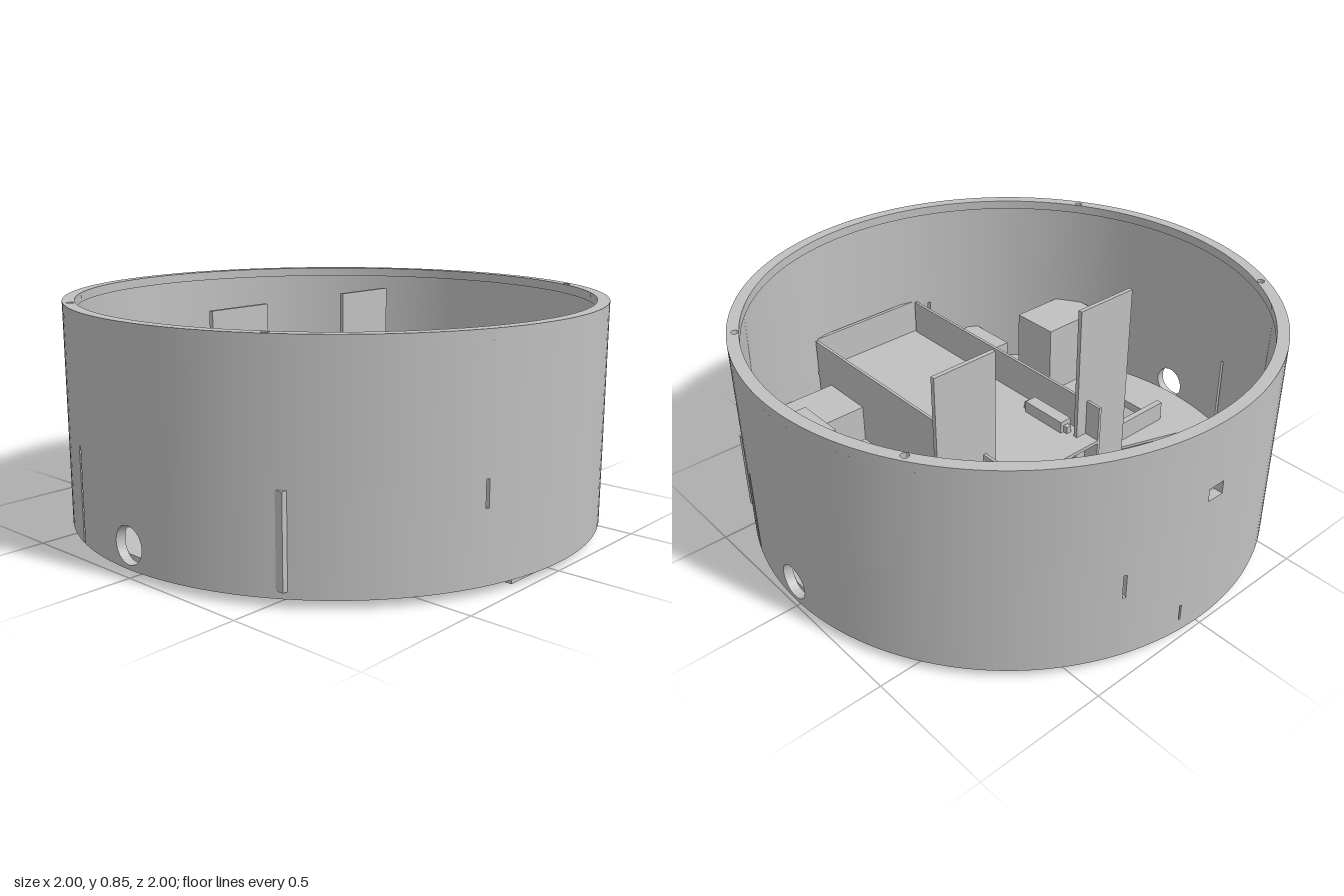
import * as THREE from 'three';
import { toCreasedNormals } from 'three/addons/utils/BufferGeometryUtils.js';

const BASE = 0.03, FLOOR = 0.065, LIP = 0.81, TOP = 0.845;
const R_OUT = 1, R_IN = 0.965, R_LIP = 0.956;

export function createModel() {
  const group = new THREE.Group();
  const grey = new THREE.MeshStandardMaterial({ color: 0xc0c0c0 });
  grey.name = 'plain grey';

  const add = (name, geometry) => {
    const mesh = new THREE.Mesh(geometry, grey);
    mesh.name = name;
    group.add(mesh);
    return mesh;
  };
  // box given by its limits on each axis
  const box = (name, x0, x1, y0, y1, z0, z1) => {
    const g = new THREE.BoxGeometry(x1 - x0, y1 - y0, z1 - z0);
    g.translate((x0 + x1) / 2, (y0 + y1) / 2, (z0 + z1) / 2);
    return add(name, g);
  };
  // box repeated on both sides
  const pair = (name, x0, x1, ...rest) => {
    box(name + 'Left', x0, x1, ...rest);
    box(name + 'Right', -x1, -x0, ...rest);
  };
  const circle = (x, z, r) => new THREE.Path().absarc(x, -z, r, 0, Math.PI * 2, true);
  const polygon = (pts) => new THREE.Path(pts.map(([x, z]) => new THREE.Vector2(x, -z)));
  // horizontal plate with holes, lying between two heights
  const disc = (name, r, holes, y0, y1) => {
    const s = new THREE.Shape().absarc(0, 0, r, 0, Math.PI * 2, false);
    s.holes.push(...holes);
    const g = new THREE.ExtrudeGeometry(s, { depth: y1 - y0, bevelEnabled: false, curveSegments: 96 });
    g.rotateX(-Math.PI / 2);
    g.translate(0, y0, 0);
    return add(name, toCreasedNormals(g, 0.5));
  };

  // floor with wheel slots, caster holes, screw holes and narrow radial cuts
  const holes = [circle(0, -0.8, 0.13), circle(0, 0.8, 0.13), circle(0, -0.435, 0.042)];
  for (const s of [-1, 1]) {
    holes.push(circle(s * 0.135, -0.445, 0.015), circle(s * 0.135, -0.285, 0.015));
    holes.push(polygon([[s * 0.27, -0.1], [s * 0.765, -0.1], [s * 0.765, 0.09], [s * 0.27, 0.09]]));
    const c = 0.948 * s, d = 0.318 * s, w = 0.007;
    holes.push(polygon([0.4, 0.96].flatMap((r, i) => [-1, 1].map((k) => {
      const e = w * k * (i ? -1 : 1);
      return [c * r - d * e, d * r + c * e];
    }))));
  }
  disc('floor', R_IN + 0.001, holes, BASE, FLOOR);

  // rim lip with four screw holes
  const screws = [-1, 1].flatMap((sx) => [-0.49, 0.485].map((z) => circle(sx * 0.84, z, 0.014)));
  disc('rimLip', R_OUT, [circle(0, 0, R_LIP), ...screws], LIP, TOP);

  add('outerWall', wallGeometry());

  // raised tray, open at the back
  box('trayFloor', -0.27, 0.27, 0.235, 0.25, -0.238, 0.94);
  pair('traySide', 0.258, 0.27, FLOOR, 0.4, -0.238, 0.92);
  box('trayFront', -0.26, 0.26, 0.2, 0.4, 0.93, 0.945);

  // tall upright panels
  pair('uprightPanel', 0.21, 0.48, FLOOR, 0.81, -0.17, -0.153);

  // wheel wells and the axle blocks beside them
  pair('wheelRailBack', 0.27, 0.77, BASE, 0.15, -0.125, -0.1);
  pair('wheelRailFront', 0.27, 0.77, BASE, 0.15, 0.09, 0.115);
  pair('axleBlock', 0.185, 0.237, 0.24, 0.3, -0.105, 0.1);
  pair('axlePin', 0.2, 0.222, 0.24, 0.28, -0.125, 0.125);

  // solid corner blocks; the outer ones poke through the wall
  pair('outerBlock', 0.56, 0.85, 0.055, 0.375, 0.35, 0.557);
  pair('innerBlock', 0.265, 0.53, FLOOR, 0.225, 0.6, 0.83);

  // shallow frames under the floor around the caster holes
  for (const [name, z0, z1] of [['frontCaster', 0.65, 0.95], ['backCaster', -0.945, -0.65]]) {
    const t = 0.014;
    pair(name + 'FrameSide', 0.205 - t, 0.205, 0, BASE, z0, z1);
    box(name + 'FrameBack', -0.205, 0.205, 0, BASE, z0, z0 + t);
    box(name + 'FrameFront', -0.205, 0.205, 0, BASE, z1 - t, z1);
  }
  return group;
}

// ring wall made of columns, interrupted by slits, a window and round holes
function wallGeometry() {
  const TAU = Math.PI * 2;
  const slot = (x, z, half, lo, hi) =>
    ({ a: (Math.atan2(x, z) + TAU) % TAU, half, lo: () => lo, hi: () => hi, steps: 1 });
  const round = (x, y, r) => {
    const h = (d) => Math.sqrt(Math.max(0, r * r - d * d));
    return { a: (Math.atan2(x, 0) + TAU) % TAU, half: r, lo: (d) => y - h(d), hi: (d) => y + h(d), steps: 20 };
  };
  const openings = [
    round(1, 0.113, 0.067), round(-1, 0.113, 0.067),
    slot(0.948, 0.318, 0.007, BASE, 0.38), slot(-0.948, -0.318, 0.007, BASE, 0.38),
    slot(-0.34, 0.94, 0.006, 0.285, 0.38), slot(0.34, -0.94, 0.006, 0.285, 0.38),
    slot(0.109, -0.99, 0.004, 0.08, 0.145),
    slot(0, -1, 0.034, 0.55, 0.6),
  ];

  const angles = Array.from({ length: 145 }, (_, i) => (i / 144) * TAU);
  for (const o of openings)
    for (let i = 0; i <= o.steps; i++) angles.push(o.a - o.half * Math.cos((Math.PI * i) / o.steps));
  angles.sort((p, q) => p - q);

  const pos = [];
  const at = (r, a, y) => [r * Math.sin(a), y, r * Math.cos(a)];
  const quad = (a, b, c, d) => pos.push(...a, ...b, ...c, ...a, ...c, ...d);
  // one curved block with separate heights at its two ends
  const block = (a, b, la, lb, ha, hb) => {
    if (ha - la < 1e-6 && hb - lb < 1e-6) return;
    const o = R_OUT, n = R_IN;
    quad(at(o, a, la), at(o, b, lb), at(o, b, hb), at(o, a, ha));
    quad(at(n, b, lb), at(n, a, la), at(n, a, ha), at(n, b, hb));
    quad(at(o, a, ha), at(o, b, hb), at(n, b, hb), at(n, a, ha));
    quad(at(n, a, la), at(n, b, lb), at(o, b, lb), at(o, a, la));
  };

  for (let i = 0; i + 1 < angles.length; i++) {
    const a = angles[i], b = angles[i + 1];
    if (b - a < 1e-6) continue;
    const o = openings.find((p) => Math.abs((a + b) / 2 - p.a) < p.half);
    if (!o) {
      block(a, b, BASE, BASE, LIP, LIP);
      continue;
    }
    const da = a - o.a, db = b - o.a;
    block(a, b, BASE, BASE, o.lo(da), o.lo(db));
    block(a, b, o.hi(da), o.hi(db), LIP, LIP);
  }
  // upright sides of the rectangular openings
  for (const o of openings.filter((p) => p.steps === 1)) {
    const a = o.a - o.half, b = o.a + o.half, l = o.lo(), h = o.hi();
    quad(at(R_OUT, a, l), at(R_IN, a, l), at(R_IN, a, h), at(R_OUT, a, h));
    quad(at(R_IN, b, l), at(R_OUT, b, l), at(R_OUT, b, h), at(R_IN, b, h));
  }
  const g = new THREE.BufferGeometry();
  g.setAttribute('position', new THREE.Float32BufferAttribute(pos, 3));
  return toCreasedNormals(g, 0.5);
}
